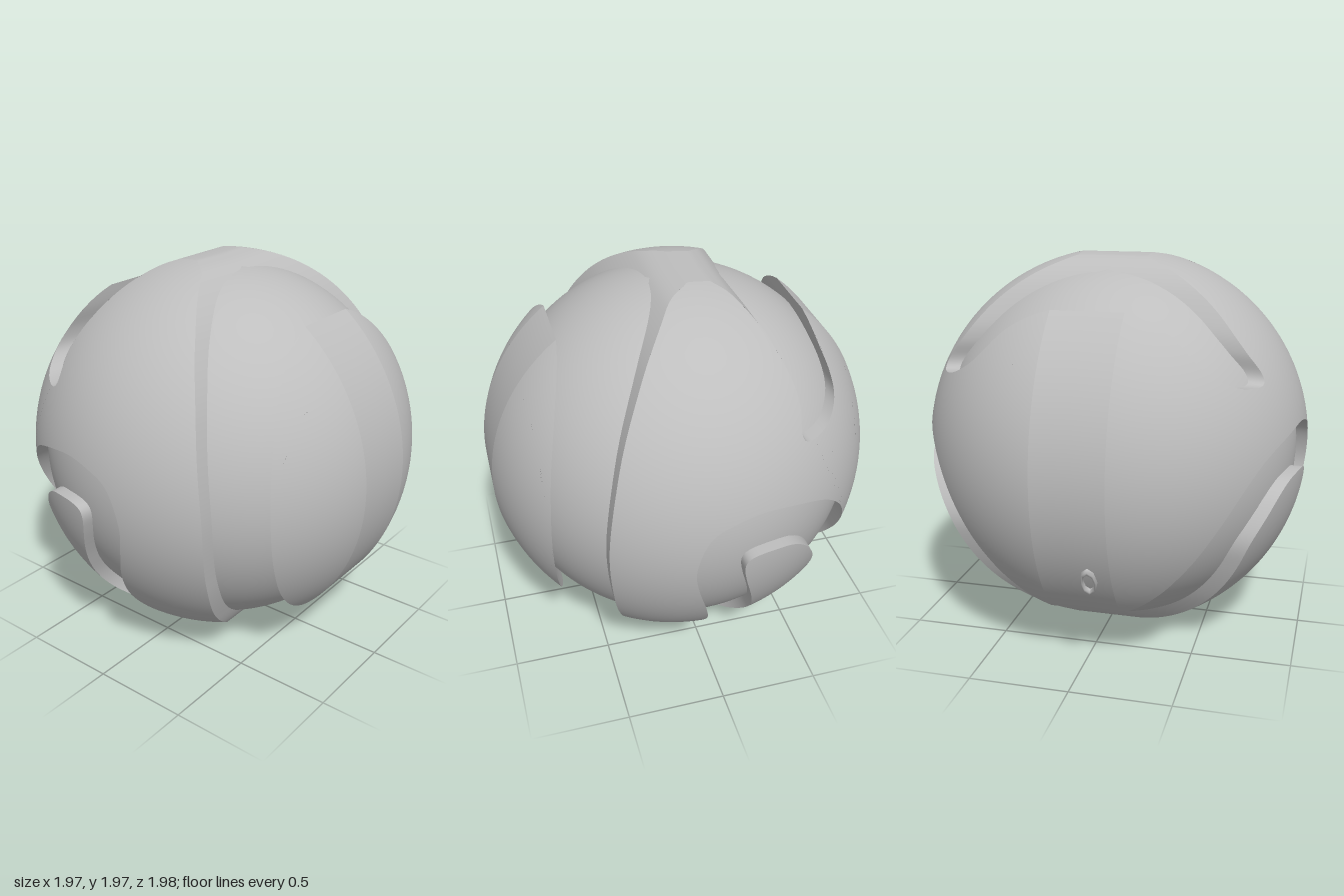
import * as THREE from 'three';
import { toCreasedNormals } from 'three/addons/utils/BufferGeometryUtils.js';

const CY = 0.985;      // height of the ball's centre
const OUTER = 1;       // radius of the raised panels
const INNER = 0.94;    // radius of the core seen in the grooves
const RIM = 0.984;     // panels are trimmed to this radius around the z axis

const grey = new THREE.MeshStandardMaterial({ color: 0xbebebe });
grey.name = 'grey';

const depth = (p, radius) => {
  const r = Math.min(Math.hypot(p.x, p.y), RIM);
  return Math.sqrt(Math.max(0, radius * radius - r * r));
};

// smooth curve through points given in front-view coordinates
function curve(points) {
  const spline = new THREE.SplineCurve(points.map(([x, y]) => new THREE.Vector2(x, y - CY)));
  return spline.getSpacedPoints(Math.ceil(spline.getLength() / 0.02));
}

// trimmed edge running counter-clockwise from point a to point b
function rim(a, b) {
  const start = Math.atan2(a.y, a.x);
  let sweep = Math.atan2(b.y, b.x) - start;
  if (sweep < 0) sweep += Math.PI * 2;
  const n = Math.ceil(sweep / 0.02), pts = [];
  for (let i = 0; i <= n; i++) {
    const t = start + sweep * i / n;
    pts.push(new THREE.Vector2(RIM * Math.cos(t), RIM * Math.sin(t)));
  }
  return pts;
}

// raised panel: an outline projected along z onto the ball, front and back
function panel(name, outline) {
  const pts = outline.filter((p, i) => p.distanceTo(outline[(i + 1) % outline.length]) > 0.003);
  if (THREE.ShapeUtils.isClockWise(pts)) pts.reverse();
  const group = new THREE.Group();
  group.name = name;

  // domed faces, refined until every edge is short
  const pos = [], nor = [];
  const lift = (p, s) => new THREE.Vector3(p.x, p.y, s * depth(p, OUTER));
  const emit = (tri, s) => {
    for (const p of s > 0 ? tri : [...tri].reverse()) {
      const v = lift(p, s);
      pos.push(v.x, v.y + CY, v.z);
      v.normalize();
      nor.push(v.x, v.y, v.z);
    }
  };
  const split = (a, b, c) => {
    const ab = lift(a, 1).distanceTo(lift(b, 1));
    const bc = lift(b, 1).distanceTo(lift(c, 1));
    const ca = lift(c, 1).distanceTo(lift(a, 1));
    const longest = Math.max(ab, bc, ca);
    if (longest < 0.07) { emit([a, b, c], 1); emit([a, b, c], -1); return; }
    if (bc === longest) return split(b, c, a);
    if (ca === longest) return split(c, a, b);
    const m = a.clone().add(b).multiplyScalar(0.5);
    split(a, m, c);
    split(m, b, c);
  };
  for (const [a, b, c] of THREE.ShapeUtils.triangulateShape(pts, [])) split(pts[a], pts[b], pts[c]);
  const face = new THREE.BufferGeometry();
  face.setAttribute('position', new THREE.Float32BufferAttribute(pos, 3));
  face.setAttribute('normal', new THREE.Float32BufferAttribute(nor, 3));
  const faceMesh = new THREE.Mesh(face, grey);
  faceMesh.name = name + 'Face';

  // edge walls reaching down to just below the core
  const wall = [];
  const base = p => Math.max(0, depth(p, INNER) - 0.02);
  pts.forEach((a, i) => {
    const b = pts[(i + 1) % pts.length];
    for (const s of [1, -1]) {
      const A = [a.x, a.y + CY, s * base(a)], B = [b.x, b.y + CY, s * base(b)];
      const C = [b.x, b.y + CY, s * depth(b, OUTER)], D = [a.x, a.y + CY, s * depth(a, OUTER)];
      wall.push(...(s > 0 ? [A, B, C, A, C, D] : [A, C, B, A, D, C]).flat());
    }
  });
  const sides = new THREE.BufferGeometry();
  sides.setAttribute('position', new THREE.Float32BufferAttribute(wall, 3));
  const sideMesh = new THREE.Mesh(toCreasedNormals(sides, 0.6), grey);
  sideMesh.name = name + 'Edge';
  group.add(faceMesh, sideMesh);
  return group;
}

export function createModel() {
  const model = new THREE.Group();
  model.name = 'groovedBall';

  // core sphere
  const core = new THREE.Mesh(new THREE.SphereGeometry(INNER, 96, 64), grey);
  core.name = 'core';
  core.position.y = CY;
  model.add(core);

  // main panel: right edge and lower hollow, then the upper notch
  const mainRight = curve([[-0.02, 1.968], [0.12, 1.92], [0.3, 1.73], [0.45, 1.42], [0.53, 1.0],
    [0.5, 0.6], [0.42, 0.3], [0.35, 0.15], [0.28, 0.11]]);
  const hollow = curve([[0.28, 0.11], [0.14, 0.155], [0.06, 0.25], [0.035, 0.38], [0.07, 0.55],
    [0.13, 0.75], [0.15, 0.9], [0.1, 1.06], [0, 1.135], [-0.2, 1.17], [-0.48, 1.1],
    [-0.64, 0.97], [-0.73, 0.78], [-0.755, 0.58], [-0.735, 0.42], [-0.69, 0.284]]);
  const notch = curve([[-0.62, 1.749], [-0.63, 1.66], [-0.652, 1.56], [-0.645, 1.48], [-0.58, 1.42],
    [-0.5, 1.4], [-0.425, 1.405], [-0.4, 1.45], [-0.412, 1.55], [-0.39, 1.66], [-0.31, 1.82],
    [-0.22, 1.92], [-0.14, 1.959]]);
  model.add(panel('mainPanel', [
    ...mainRight, ...hollow,
    ...rim(notch[0], hollow.at(-1)).reverse(),
    ...notch,
    ...rim(mainRight[0], notch.at(-1)).reverse(),
  ]));

  // hooked tongue inside the lower hollow
  const tongue = curve([[-0.05, 0.003], [-0.13, 0.1], [-0.19, 0.25], [-0.2, 0.4], [-0.16, 0.58],
    [-0.1, 0.78], [-0.085, 0.88], [-0.12, 0.925], [-0.22, 0.935], [-0.35, 0.91], [-0.45, 0.82],
    [-0.52, 0.66], [-0.5, 0.5], [-0.42, 0.29], [-0.3, 0.1], [-0.22, 0.027]]);
  model.add(panel('tonguePanel', [...tongue, ...rim(tongue.at(-1), tongue[0])]));

  // side panel
  const side = curve([[0.61, 1.757], [0.68, 1.55], [0.74, 1.28], [0.765, 0.98], [0.755, 0.7],
    [0.72, 0.45], [0.68, 0.275]]);
  model.add(panel('sidePanel', [...side, ...rim(side.at(-1), side[0])]));

  // small raised eyelet
  const eyelet = new THREE.Mesh(new THREE.TorusGeometry(0.075, 0.018, 6, 8), grey);
  eyelet.name = 'eyelet';
  eyelet.scale.set(0.45, 1, 1);
  const out = new THREE.Vector3(-0.88, -0.47, 0.07).normalize();
  eyelet.lookAt(out);
  eyelet.position.copy(out).multiplyScalar(0.99);
  eyelet.position.y += CY;
  model.add(eyelet);

  return model;
}
